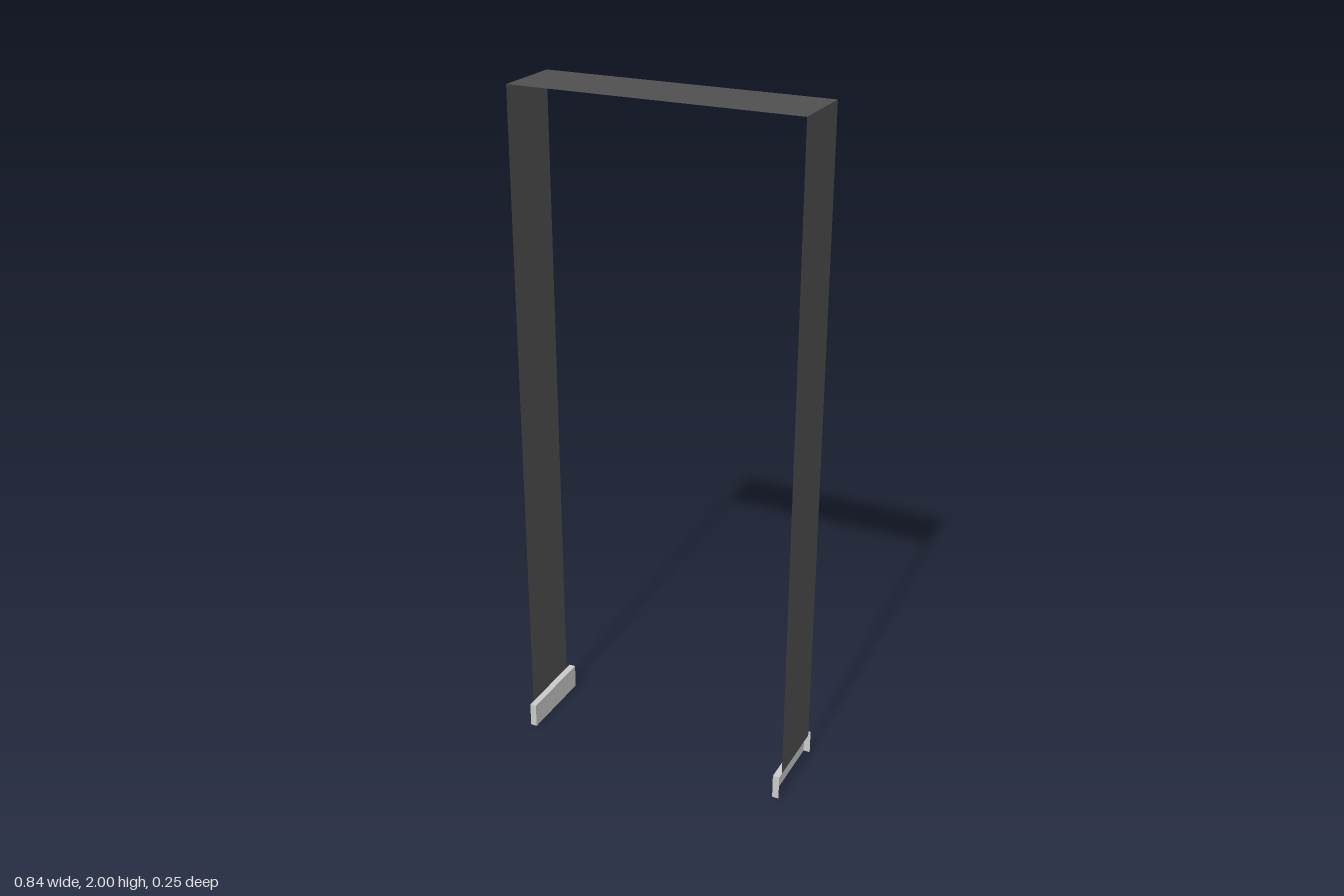
import * as THREE from 'three';

export function createModel() {
  const model = new THREE.Group();
  model.name = 'doorFrame';
  const frameMaterial = new THREE.MeshStandardMaterial({ name: 'darkGrey', color: 0x505050, side: THREE.DoubleSide });
  const footMaterial = new THREE.MeshStandardMaterial({ name: 'lightGrey', color: 0xcacaca, side: THREE.DoubleSide });

  const halfWidth = 0.42, frameDepth = 0.21, height = 2;
  const footHeight = 0.075, footDepth = 0.25, footThickness = 0.02;

  // Flat sheet, turned to face the given axis
  function sheet(name, material, width, length, axis, x, y, z, parent) {
    const geometry = new THREE.PlaneGeometry(width, length);
    if (axis === 'x') geometry.rotateY(Math.PI / 2);
    if (axis === 'y') geometry.rotateX(-Math.PI / 2);
    const mesh = new THREE.Mesh(geometry, material);
    mesh.name = name;
    mesh.position.set(x, y, z);
    parent.add(mesh);
  }

  // Lintel across the top
  sheet('lintel', frameMaterial, halfWidth * 2, frameDepth, 'y', 0, height, 0, model);

  for (const side of [-1, 1]) {
    const label = side > 0 ? 'left' : 'right';

    // Upright
    const legHeight = height - footHeight;
    sheet(label + 'Upright', frameMaterial, frameDepth, legHeight, 'x',
      side * halfWidth, footHeight + legHeight / 2, 0, model);

    // Foot cover, open underneath and on the outer side
    const foot = new THREE.Group();
    foot.name = label + 'Foot';
    const middle = side * (halfWidth - footThickness / 2);
    sheet('innerWall', footMaterial, footDepth, footHeight, 'x',
      side * (halfWidth - footThickness), footHeight / 2, 0, foot);
    sheet('footTop', footMaterial, footThickness, footDepth, 'y', middle, footHeight, 0, foot);
    for (const end of [-1, 1]) {
      sheet(end > 0 ? 'frontCap' : 'backCap', footMaterial, footThickness, footHeight, 'z',
        middle, footHeight / 2, end * footDepth / 2, foot);
    }
    model.add(foot);
  }
  return model;
}
